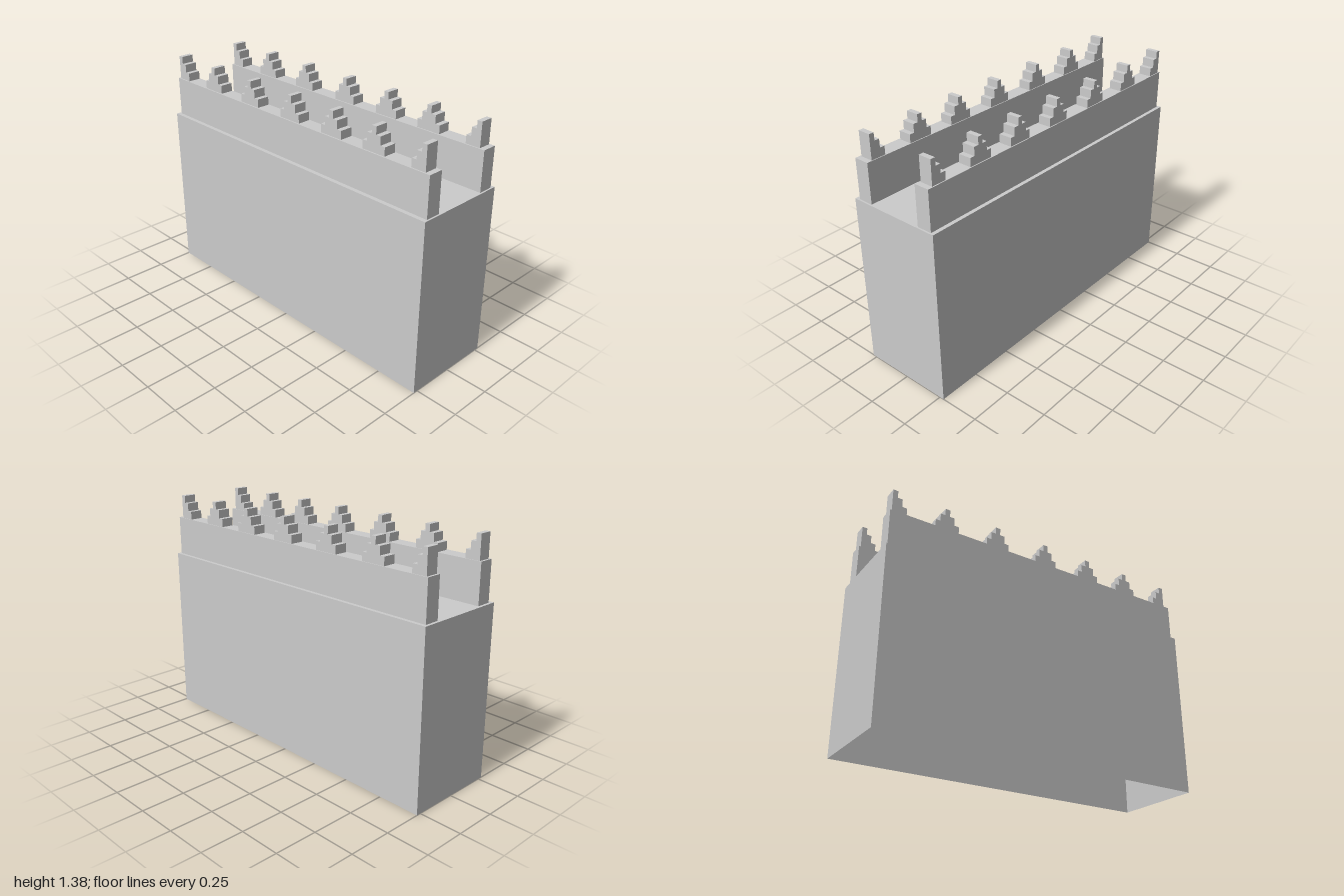
import * as THREE from 'three';

const BASE_TOP = 1.008, PARAPET_TOP = 1.238;
const STEP_W = 0.029, LEVELS = [1.286, 1.334, 1.377];
const material = new THREE.MeshStandardMaterial({ color: 0xcccccc, flatShading: true, side: THREE.DoubleSide });

// Stepped outline; left/right tell which flanks carry the stairs
function merlonShape(left, right) {
  const h = STEP_W / 2, pts = [];
  const stairs = (side, stepped) => {
    const flank = [];
    let y = PARAPET_TOP;
    LEVELS.forEach((top, i) => {
      const x = side * (h + (stepped ? (2 - i) * STEP_W : 0));
      flank.push(new THREE.Vector2(x, y), new THREE.Vector2(x, top));
      y = top;
    });
    return stepped ? flank : [flank[0], flank[5]];
  };
  pts.push(...stairs(1, right), ...stairs(-1, left).reverse());
  return new THREE.Shape(pts);
}

function merlon(x, z, depth, left, right) {
  const geo = new THREE.ExtrudeGeometry(merlonShape(left, right), { depth, bevelEnabled: false });
  const mesh = new THREE.Mesh(geo, material);
  mesh.name = 'steppedMerlon';
  mesh.position.set(x, 0, z - depth / 2);
  return mesh;
}

// Low wall with a row of merlons along its top
function parapet(name, wallZ, merlonZ) {
  const group = new THREE.Group();
  group.name = name;
  const height = PARAPET_TOP - BASE_TOP;
  const wall = new THREE.Mesh(new THREE.BoxGeometry(1.974, height, 0.088), material);
  wall.name = 'parapetWall';
  wall.position.set(0.003, BASE_TOP + height / 2, wallZ);
  group.add(wall);
  for (const x of [-0.638, -0.309, 0.025, 0.338, 0.632]) group.add(merlon(x, merlonZ, 0.075, true, true));
  // Half merlons at the ends step down towards the middle
  group.add(merlon(-0.957, merlonZ, 0.075, false, true));
  group.add(merlon(0.944, merlonZ, 0.075, true, false));
  return group;
}

export function createModel() {
  const model = new THREE.Group();
  model.name = 'battlementWall';

  // Hollow wall block without a floor
  const geo = new THREE.BoxGeometry(2, BASE_TOP, 0.552);
  const index = Array.from(geo.index.array);
  index.splice(18, 6);
  geo.setIndex(index);
  geo.clearGroups();
  const base = new THREE.Mesh(geo, material);
  base.name = 'wallBlock';
  base.position.y = BASE_TOP / 2;
  model.add(base);

  model.add(parapet('frontParapet', 0.207, 0.205));
  model.add(parapet('backParapet', -0.21, -0.211));
  return model;
}
